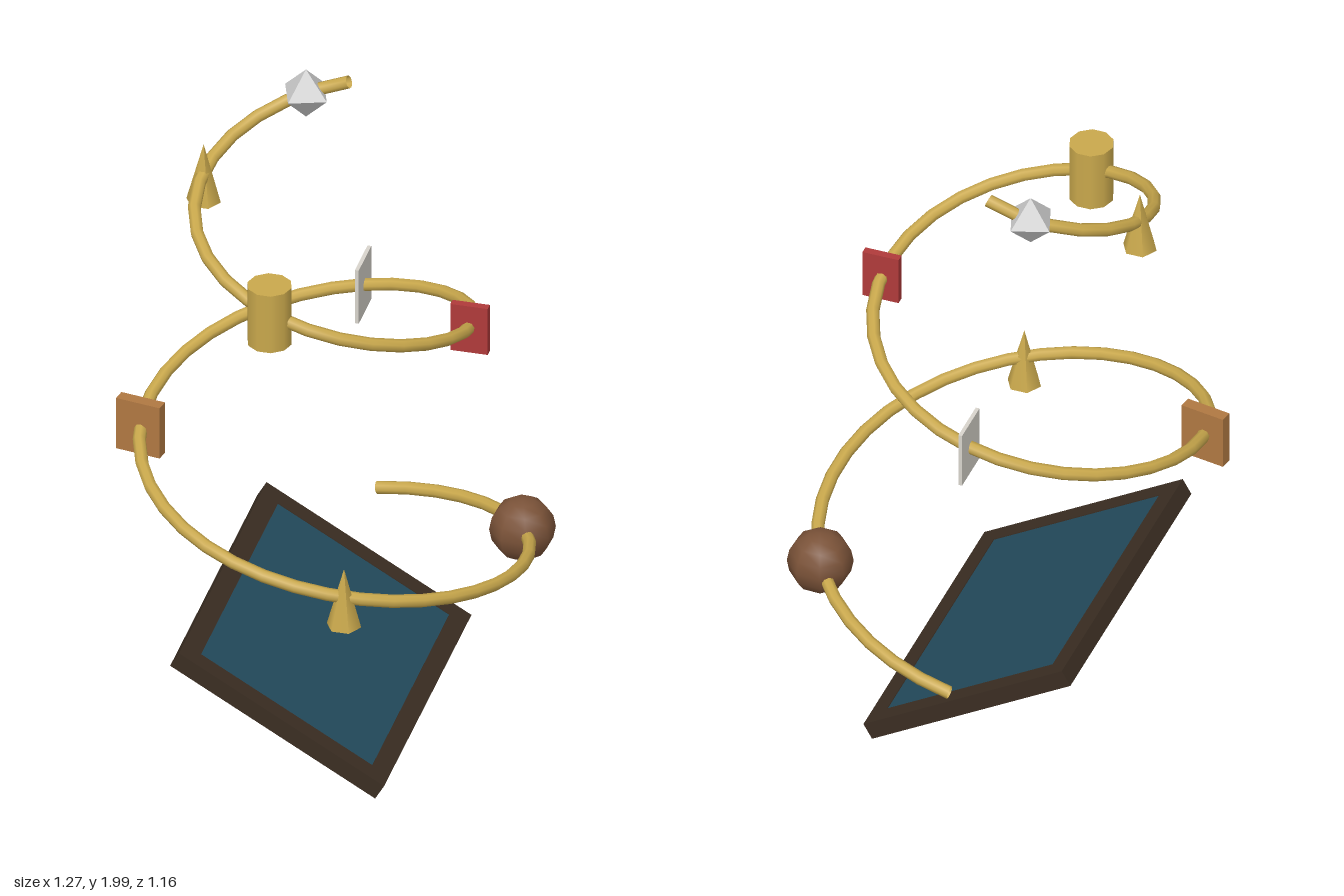
import * as THREE from 'three';

const rad = THREE.MathUtils.degToRad;
const CX = -0.03, CZ = -0.04; // shared axis of spiral and panel

const paint = (color, extra = {}) => {
  const m = new THREE.MeshStandardMaterial(extra);
  m.color.set(color);
  return m;
};

// Two-turn rising spiral whose radius halves towards the top
class SpiralCurve extends THREE.Curve {
  getPoint(t, target = new THREE.Vector3()) {
    const a = rad(-30 + 720 * t), r = 0.657 - 0.328 * t;
    return target.set(CX + r * Math.cos(a), 0.357 + 1.605 * t, CZ + r * Math.sin(a));
  }
}

// Rectangular ring of given outer size, border and thickness, centred on its origin
function frameGeometry(w, h, border, t) {
  const rect = (S, x, y) => new S([
    new THREE.Vector2(-x, -y), new THREE.Vector2(x, -y),
    new THREE.Vector2(x, y), new THREE.Vector2(-x, y),
  ]);
  const shape = rect(THREE.Shape, w / 2, h / 2);
  shape.holes.push(rect(THREE.Path, w / 2 - border, h / 2 - border));
  return new THREE.ExtrudeGeometry(shape, { depth: t, bevelEnabled: false })
    .translate(0, 0, -t / 2).rotateX(-Math.PI / 2);
}

export function createModel() {
  const group = new THREE.Group();
  const gold = 0xc9a84c;
  const add = (parent, name, geometry, material) => {
    const mesh = new THREE.Mesh(geometry, material);
    mesh.name = name;
    parent.add(mesh);
    return mesh;
  };

  // Tilted framed panel
  const panel = new THREE.Group();
  panel.name = 'tiltedPanel';
  panel.rotation.set(rad(30), rad(30), 0, 'YXZ');
  panel.position.set(CX, 0.208, CZ);
  const w = 1.02, d = 0.73, t = 0.055, border = 0.06;
  add(panel, 'panelFrame', frameGeometry(w, d, border, t), paint(0x3a2d22));
  add(panel, 'panelScreen',
    new THREE.BoxGeometry(w - 2 * border, t - 0.006, d - 2 * border), paint(0x234a5c));
  group.add(panel);

  // Spiral rod
  const spiral = new SpiralCurve();
  add(group, 'spiralRod', new THREE.TubeGeometry(spiral, 64, 0.02, 8),
    paint(gold, { side: THREE.DoubleSide }));

  // Ornaments threaded on the rod: name, position along it, turn, shape, material
  const cone = () => new THREE.ConeGeometry(0.053, 0.195, 6);
  const ornaments = [
    ['sphereBead', 0.08, 5, new THREE.SphereGeometry(0.1, 8, 8), paint(0x7a5238)],
    ['lowerCone', 0.22, 30, cone(), paint(gold)],
    ['orangeBlock', 0.36, 20, new THREE.BoxGeometry(0.038, 0.175, 0.143), paint(0xb07842)],
    ['whitePlate', 0.5, 30, new THREE.BoxGeometry(0.147, 0.185, 0.012), paint(0xd8d4cc)],
    ['redBlock', 0.62, 30, new THREE.BoxGeometry(0.025, 0.16, 0.115), paint(0xb03a3a)],
    ['cylinderBead', 0.76, 30, new THREE.CylinderGeometry(0.068, 0.068, 0.197, 10), paint(gold)],
    ['upperCone', 0.88, 30, cone(), paint(gold)],
    ['octahedronBead', 0.969, 4, new THREE.OctahedronGeometry(0.082),
      paint(0xc4c4c8, { flatShading: true })],
  ];
  for (const [name, along, turn, geometry, material] of ornaments) {
    const mesh = add(group, name, geometry, material);
    spiral.getPoint(along, mesh.position);
    mesh.rotation.y = rad(turn);
  }
  return group;
}
